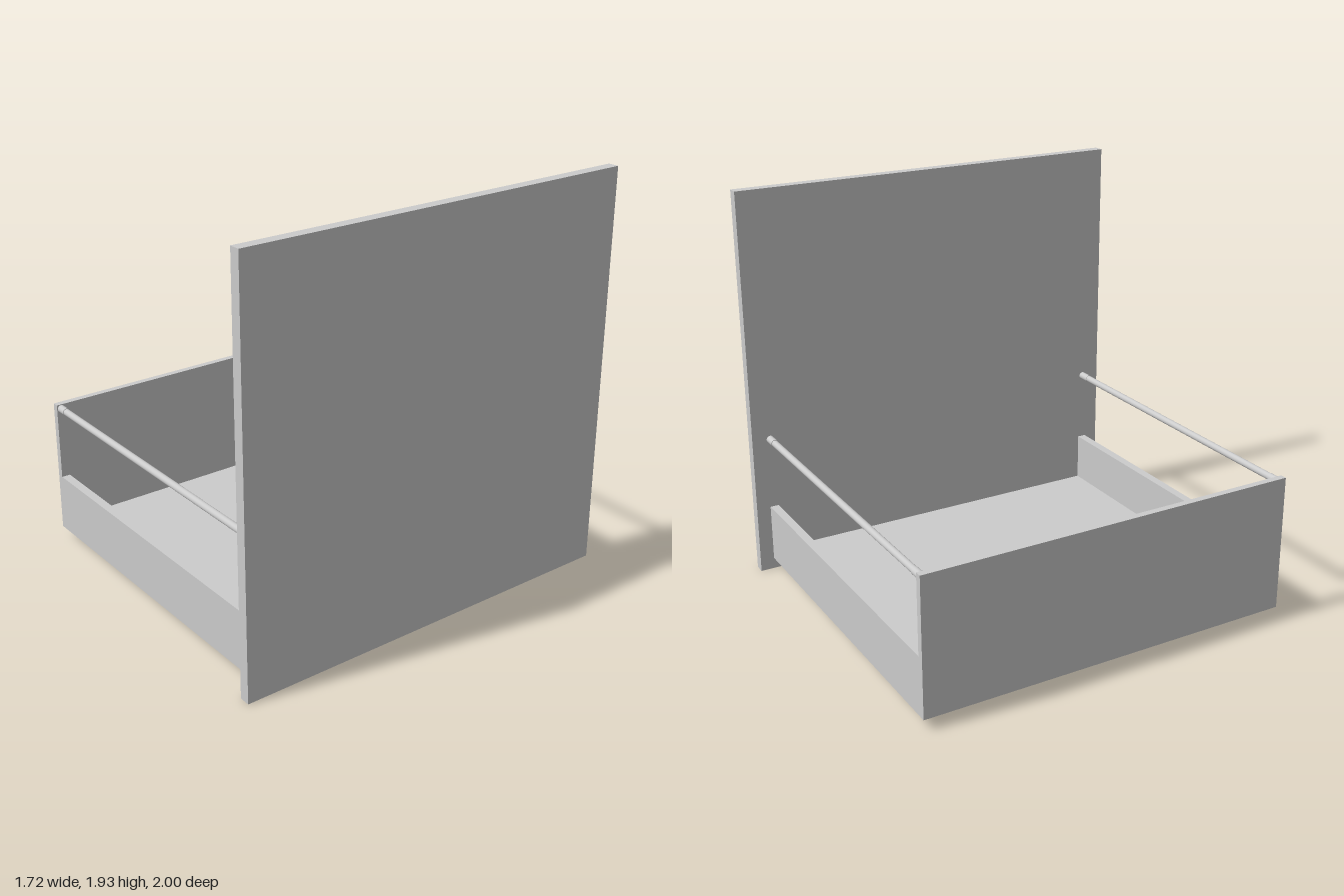
import * as THREE from 'three';

const grey = new THREE.MeshStandardMaterial({ color: 0xcccccc });

// Box given by its minimum and maximum corners
function panel(name, [x0, y0, z0], [x1, y1, z1]) {
  const mesh = new THREE.Mesh(new THREE.BoxGeometry(x1 - x0, y1 - y0, z1 - z0), grey);
  mesh.name = name;
  mesh.position.set((x0 + x1) / 2, (y0 + y1) / 2, (z0 + z1) / 2);
  return mesh;
}

// Round bar running along x
function bar(name, x0, x1, radius) {
  const mesh = new THREE.Mesh(new THREE.CylinderGeometry(radius, radius, x1 - x0, 32), grey);
  mesh.name = name;
  mesh.rotation.z = Math.PI / 2;
  mesh.position.x = (x0 + x1) / 2;
  return mesh;
}

export function createModel() {
  const model = new THREE.Group();
  model.name = 'drawer';

  const back = -0.86, backInner = -0.828, front = 0.805;
  const base = 0.055, halfWidth = 0.93, sideInner = 0.888;

  // Tall drawer front, rear wall and floor
  model.add(
    panel('drawerFront', [front, 0, -1], [0.857, 1.935, 1]),
    panel('rearWall', [back, base, -halfWidth], [backInner, 0.721, halfWidth]),
    panel('floor', [backInner, base, -sideInner], [front, 0.1, sideInner])
  );

  for (const side of [-1, 1]) {
    const label = side > 0 ? 'front' : 'back';

    // Low side wall
    const wall = panel(`${label}SideWall`, [backInner, base, sideInner], [front, 0.34, halfWidth]);
    wall.position.z *= side;
    model.add(wall);

    // Gallery rail with a holder at each end
    const rail = new THREE.Group();
    rail.name = `${label}Rail`;
    rail.position.set(0, 0.699, side * 0.908);
    rail.add(
      bar('railRod', -0.775, 0.742, 0.0165),
      bar('rearHolder', backInner, -0.775, 0.0185),
      bar('frontHolder', 0.742, front, 0.0185)
    );
    model.add(rail);
  }

  return model;
}
